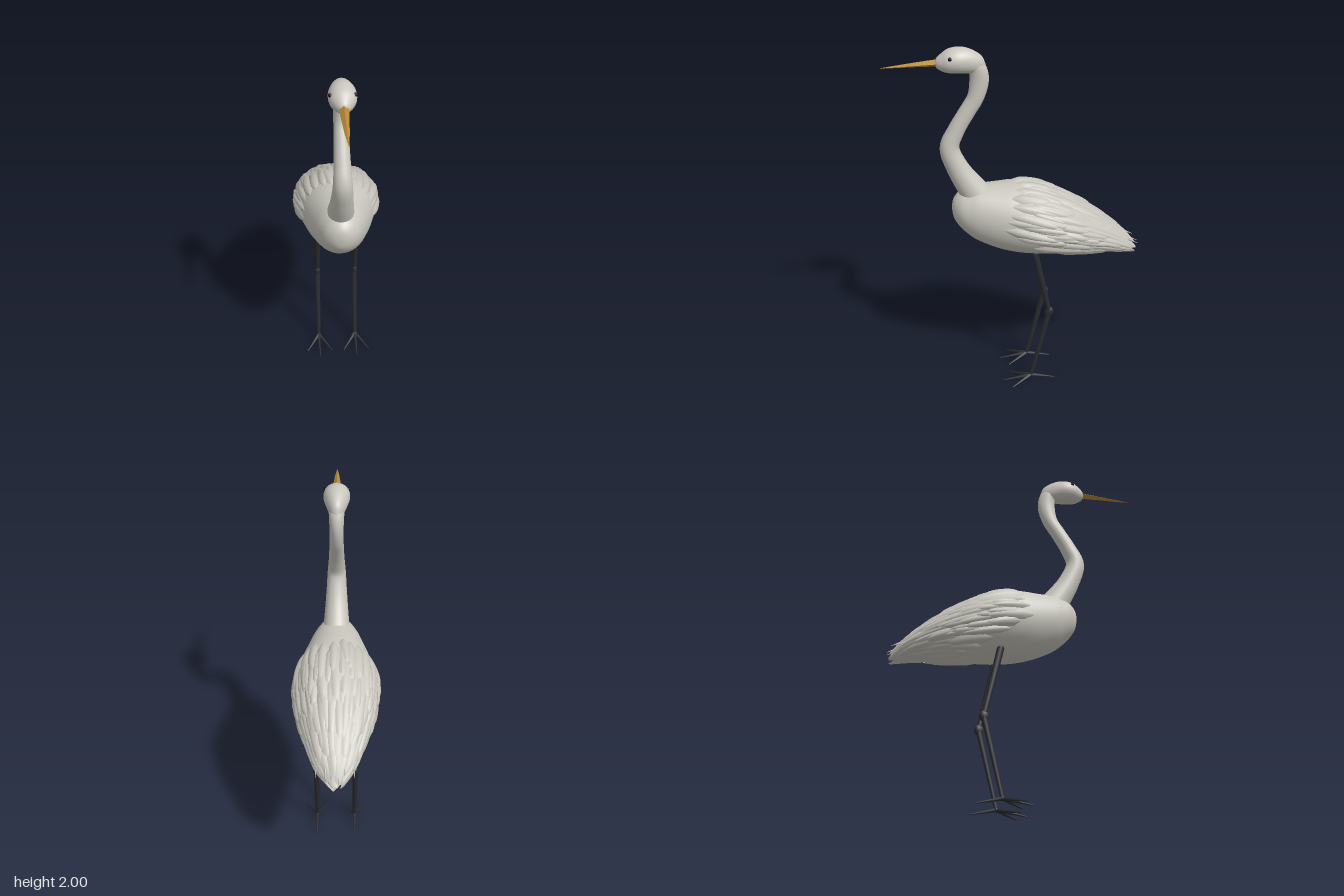
import * as THREE from 'three';
import { mergeVertices, mergeGeometries } from 'three/addons/utils/BufferGeometryUtils.js';

const mat = (name, color, side = THREE.FrontSide) => {
  const m = new THREE.MeshStandardMaterial({ color, side });
  m.name = name;
  return m;
};

// Surface from a rule fn(u, v): u runs along the part, v runs across or around it
function grid(fn, nu, nv) {
  const pos = [], idx = [];
  for (let i = 0; i <= nu; i++)
    for (let j = 0; j <= nv; j++) pos.push(...fn(i / nu, j / nv));
  for (let i = 0; i < nu; i++)
    for (let j = 0; j < nv; j++) {
      const a = i * (nv + 1) + j, b = a + 1, c = a + nv + 1, d = c + 1;
      idx.push(a, b, c, b, d, c);
    }
  const g = new THREE.BufferGeometry();
  g.setAttribute('position', new THREE.Float32BufferAttribute(pos, 3));
  g.setIndex(idx);
  const merged = mergeVertices(g, 1e-5);
  merged.computeVertexNormals();
  return merged;
}

// Smooth interpolation through rows of numbers, s is a fractional row index
function sample(rows, s) {
  const n = rows.length - 1;
  const i = Math.min(Math.floor(s), n - 1), f = s - i;
  const at = k => rows[Math.max(0, Math.min(n, k))];
  return rows[0].map((_, k) => {
    const [a, b, c, d] = [at(i - 1)[k], at(i)[k], at(i + 1)[k], at(i + 2)[k]];
    return b + 0.5 * f * (c - a + f * (2 * a - 5 * b + 4 * c - d + f * (3 * (b - c) + d - a)));
  });
}

// Tube through [z, y, half width, half height] rows; square rings if bend is true
function sweep(rows, nu, nv, bend) {
  const n = rows.length - 1;
  return grid((u, v) => {
    const s = u * n, [z, y, rx, ry] = sample(rows, s);
    let ny = 1, nz = 0;
    if (bend) {
      const p = sample(rows, Math.max(0, s - 0.05)), q = sample(rows, Math.min(n, s + 0.05));
      const len = Math.hypot(q[0] - p[0], q[1] - p[1]);
      ny = -(q[0] - p[0]) / len;
      nz = (q[1] - p[1]) / len;
    }
    const t = v * Math.PI * 2, c = Math.cos(t) * ry;
    return [Math.sin(t) * rx, y + c * ny, z + c * nz];
  }, nu, nv);
}

// Body outline, front to tail: z, top, bottom, half width
const BODY = [
  [0.345, 1.1, 1.1, 0], [0.335, 1.15, 1.04, 0.045], [0.3, 1.19, 0.985, 0.09],
  [0.25, 1.212, 0.935, 0.118], [0.2, 1.225, 0.9, 0.14], [0.1, 1.23, 0.857, 0.175],
  [0, 1.232, 0.832, 0.203], [-0.1, 1.212, 0.822, 0.22], [-0.2, 1.172, 0.82, 0.216],
  [-0.3, 1.12, 0.822, 0.2], [-0.4, 1.056, 0.824, 0.172], [-0.5, 0.982, 0.822, 0.134],
  [-0.6, 0.895, 0.808, 0.085], [-0.68, 0.8, 0.79, 0.012],
];
const zToS = z => 5 + (0.1 - z) / 0.1;
function bodyPoint(s, t, lift) {
  const [z, top, bottom, w] = sample(BODY, s);
  return [Math.sin(t) * (w + lift), (top + bottom) / 2 + Math.cos(t) * ((top - bottom) / 2 + lift), z];
}

// Blade lying on the body, rising towards a pointed tip
function feather(t, z0, length, halfWidth, tipLift, twist = 0) {
  const s0 = zToS(z0), s1 = Math.min(13, zToS(z0 - length));
  return grid((u, v) => {
    const s = s0 + (s1 - s0) * u, [, top, bottom, w] = sample(BODY, s);
    const across = v * 2 - 1;
    const shape = Math.min(1, 0.35 + 3 * u) * Math.sqrt(Math.max(0, 1 - u ** 3));
    const spread = Math.min(0.9, halfWidth / Math.max(0.03, (w + (top - bottom) / 2) / 2));
    const lift = -0.006 + tipLift * u + 0.013 * (1 - across * across) * shape;
    return bodyPoint(s, t + twist * u + across * spread * shape, lift);
  }, 9, 4);
}

function rod(a, b, ra, rb, material, sides = 8) {
  const p = new THREE.Vector3(...a), d = new THREE.Vector3(...b).sub(p);
  const m = new THREE.Mesh(new THREE.CylinderGeometry(rb, ra, d.length(), sides), material);
  m.position.copy(p).addScaledVector(d, 0.5);
  m.quaternion.setFromUnitVectors(new THREE.Vector3(0, 1, 0), d.normalize());
  return m;
}

export function createModel() {
  const model = new THREE.Group();
  const grey = mat('plumage grey', 0xc9c7be);
  const quill = mat('feather grey', 0xc5c3ba, THREE.DoubleSide);
  const dark = mat('leg black', 0x2b2c30);
  const horn = mat('beak ochre', 0xb88a35);
  const black = mat('eye black', 0x0c0c0c);
  const add = (name, geometry, material, parent = model) => {
    const m = new THREE.Mesh(geometry, material);
    m.name = name;
    parent.add(m);
    return m;
  };
  let seed = 7;
  const rnd = () => (seed = (seed * 16807) % 2147483647) / 2147483647;

  // Body, neck and head
  add('body', grid((u, v) => bodyPoint(u * 13, v * Math.PI * 2, 0), 52, 36), grey);
  add('neck', sweep([
    [0.235, 1.93, 0.04, 0.035], [0.195, 1.89, 0.04, 0.045], [0.185, 1.82, 0.037, 0.05],
    [0.205, 1.73, 0.037, 0.044], [0.255, 1.645, 0.039, 0.043], [0.31, 1.55, 0.043, 0.045],
    [0.347, 1.45, 0.05, 0.052], [0.305, 1.33, 0.058, 0.06], [0.24, 1.22, 0.068, 0.074],
    [0.17, 1.12, 0.08, 0.09],
  ], 54, 24, true), grey);
  add('head', sweep([
    [0.408, 1.92, 0, 0], [0.4, 1.92, 0.024, 0.024], [0.375, 1.923, 0.046, 0.044],
    [0.34, 1.929, 0.065, 0.061], [0.29, 1.932, 0.069, 0.068], [0.24, 1.927, 0.058, 0.065],
    [0.195, 1.915, 0.042, 0.055], [0.165, 1.905, 0.025, 0.038], [0.148, 1.895, 0, 0],
  ], 40, 28), grey);

  // Beak: four-sided taper with hard edges
  const beak = sweep([[0.69, 1.902, 0, 0], [0.6, 1.908, 0.011, 0.007],
    [0.5, 1.915, 0.018, 0.013], [0.38, 1.922, 0.026, 0.02]], 9, 4).toNonIndexed();
  beak.computeVertexNormals();
  add('beak', beak, horn);

  // Feather rows overlap from the shoulder to the tail on both sides
  for (const side of [1, -1]) {
    const blades = [];
    for (let row = 0; row < 9; row++) {
      const z = 0.09 - row * 0.065;
      const low = Math.min(3.05, 1.7 + (0.09 - z) * 3.6);
      const [, top, bottom, w] = sample(BODY, zToS(z));
      const n = Math.max(4, Math.round(low * (w + (top - bottom) / 2) / 2 / 0.046));
      for (let k = 0; k < n; k++) {
        const t = (k + 0.5 + (rnd() - 0.5) * 0.5) / n * low;
        const start = z - 0.06 * Math.max(0, Math.cos(t)) * (row < 2 ? 1 : 0) - rnd() * 0.03;
        blades.push(feather(side * t, start, 0.17 + rnd() * 0.13, 0.022 + rnd() * 0.009,
          0.014 + rnd() * 0.012, side * (rnd() - 0.5) * 0.2));
      }
    }
    add(side > 0 ? 'leftWingFeathers' : 'rightWingFeathers', mergeGeometries(blades), quill);
  }

  // Long feathers down the back and loose tips at the tail
  const back = [];
  for (const [t, z, len] of [[0, -0.02, 0.34], [0, -0.32, 0.33], [0.3, -0.06, 0.45], [-0.3, -0.06, 0.45],
    [0.75, -0.1, 0.46], [-0.75, -0.1, 0.46]]) back.push(feather(t, z, len, 0.03, 0.022));
  add('backFeathers', mergeGeometries(back), quill);
  const tail = new THREE.Group();
  tail.name = 'tailTips';
  for (const s of [1, -1])
    for (const [x, y, z] of [[0.1, 0.835, -0.645], [0.05, 0.85, -0.67], [0.018, 0.825, -0.69]])
      tail.add(rod([s * x * 0.95, y + 0.06, z + 0.12], [s * x, y, z], 0.012, 0.001, quill, 5));
  model.add(tail);

  // Eyes, legs and feet
  for (const s of [1, -1]) {
    const name = s > 0 ? 'left' : 'right';
    const eye = add(name + 'Eye', new THREE.SphereGeometry(0.01, 12, 8), black);
    eye.position.set(s * 0.06, 1.957, 0.333);

    const leg = new THREE.Group();
    leg.name = name + 'Leg';
    const x = s * 0.11, hip = [x, 0.85, -0.095], knee = [x, 0.465, -0.18], ankle = [x, 0.033, -0.08];
    leg.add(rod(hip, knee, 0.02, 0.014, dark), rod(knee, ankle, 0.016, 0.011, dark));
    for (const [p, r] of [[hip, 0.02], [knee, 0.026], [ankle, 0.013]]) {
      const joint = add('joint', new THREE.SphereGeometry(r, 10, 8), dark, leg);
      joint.position.set(...p);
      if (p === knee) joint.scale.set(0.65, 1.25, 1);
    }
    for (const [dx, z] of [[0, 0.08], [0.075, 0.035], [-0.075, 0.035], [0, -0.22]]) {
      const toe = rod(ankle, [x + dx, 0.004, z], 0.011, 0.003, dark, 6);
      toe.name = 'toe';
      leg.add(toe);
    }
    model.add(leg);
  }
  return model;
}
